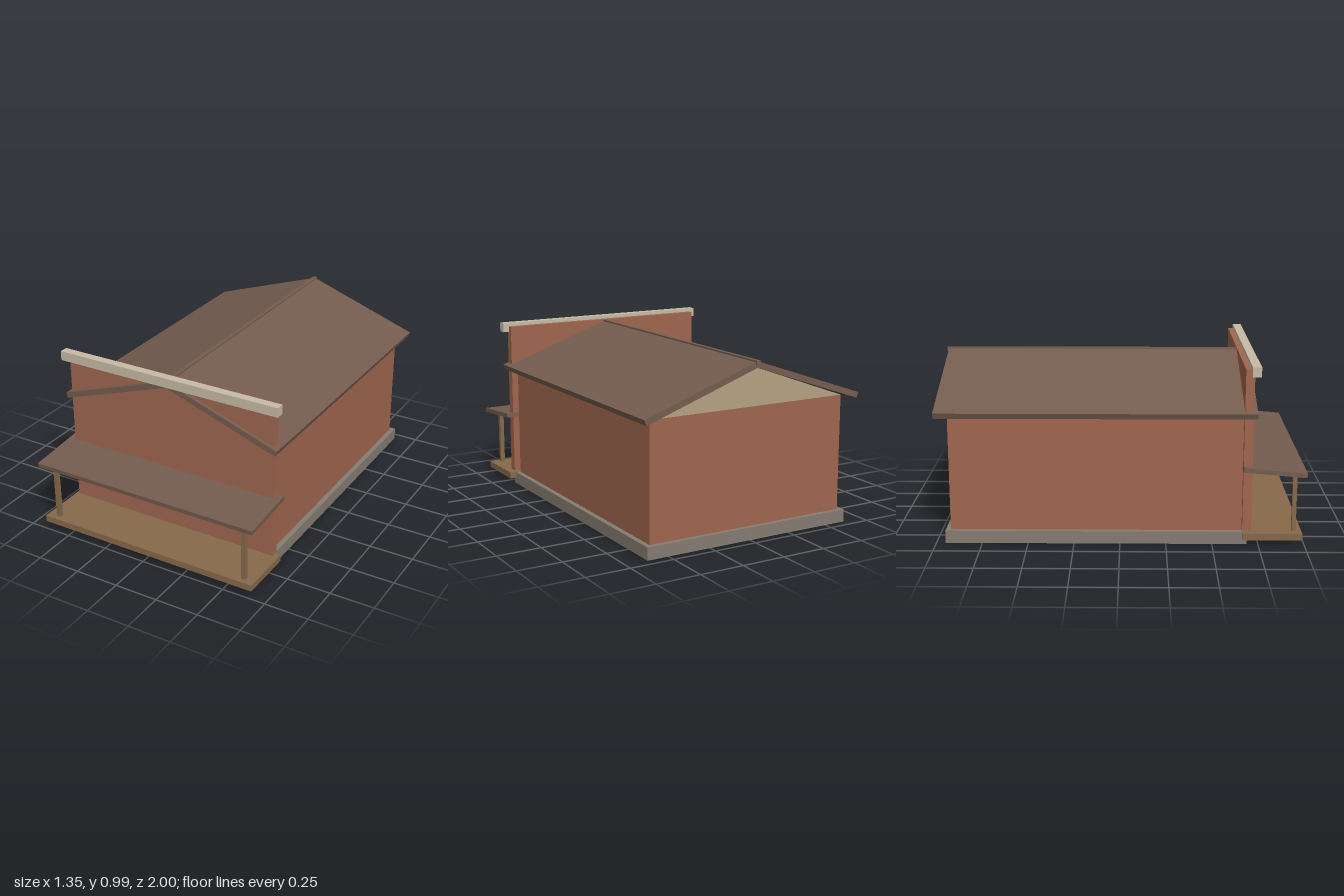
import * as THREE from 'three';

const mat = (color) => new THREE.MeshStandardMaterial({ color, flatShading: true });

export function createModel() {
  const group = new THREE.Group();
  const brick = mat(0xa0664f), roof = mat(0x745c4e), wood = mat(0x86694a);
  const stone = mat(0x857c72), trim = mat(0xc6bba6), gablePaint = mat(0xb5a283), dark = mat(0x48423d);

  // Box given by its min and max on each axis
  const box = (name, material, [x0, x1], [y0, y1], [z0, z1]) => {
    const mesh = new THREE.Mesh(new THREE.BoxGeometry(x1 - x0, y1 - y0, z1 - z0), material);
    mesh.position.set((x0 + x1) / 2, (y0 + y1) / 2, (z0 + z1) / 2);
    mesh.name = name;
    group.add(mesh);
    return mesh;
  };

  // Main building
  box('foundation', stone, [-0.625, 0.625], [0, 0.07], [-0.95, 0.69]);
  box('walls', brick, [-0.597, 0.597], [0.07, 0.715], [-0.923, 0.662]);

  // Gable prism under the roof
  const tri = new THREE.Shape([
    new THREE.Vector2(-0.597, 0.715), new THREE.Vector2(0.597, 0.715), new THREE.Vector2(0, 0.932),
  ]);
  const gable = new THREE.Mesh(
    new THREE.ExtrudeGeometry(tri, { depth: 1.583, bevelEnabled: false }), gablePaint);
  gable.position.z = -0.923;
  gable.name = 'gable';
  group.add(gable);

  // Pitched roof slabs, mirrored about the ridge
  const eaveX = 0.657, eaveY = 0.72, ridgeY = 0.947;
  const pitch = Math.atan2(ridgeY - eaveY, eaveX);
  for (const s of [-1, 1]) {
    const slab = new THREE.Mesh(
      new THREE.BoxGeometry(Math.hypot(eaveX, ridgeY - eaveY), 0.032, 1.72), roof);
    slab.position.set(s * eaveX / 2, (eaveY + ridgeY) / 2, -0.13);
    slab.rotation.z = -s * pitch;
    slab.name = s > 0 ? 'leftRoofSlope' : 'rightRoofSlope';
    group.add(slab);
  }
  box('ridgeCap', roof, [-0.012, 0.012], [0.945, 0.968], [-1, 0.73]);

  // Tall false front with cornice
  box('falseFront', brick, [-0.635, 0.635], [0.083, 0.97], [0.662, 0.71]);
  box('cornice', trim, [-0.67, 0.67], [0.937, 0.99], [0.693, 0.741]);
  box('door', dark, [-0.35, -0.2], [0.07, 0.36], [0.65, 0.68]);

  // Porch: deck, posts and sloping canopy
  box('porchDeck', wood, [-0.663, 0.663], [0.035, 0.072], [0.665, 0.985]);
  for (const s of [-1, 1]) {
    box('porchPost', wood, [s * 0.597 - 0.0125, s * 0.597 + 0.0125], [0.07, 0.41], [0.932, 0.955]);
  }
  const canopy = new THREE.Mesh(new THREE.BoxGeometry(1.35, 0.025, 0.34), roof);
  canopy.position.set(0, 0.418, 0.83);
  canopy.rotation.x = Math.atan2(0.03, 0.34);
  canopy.name = 'porchCanopy';
  group.add(canopy);

  return group;
}
